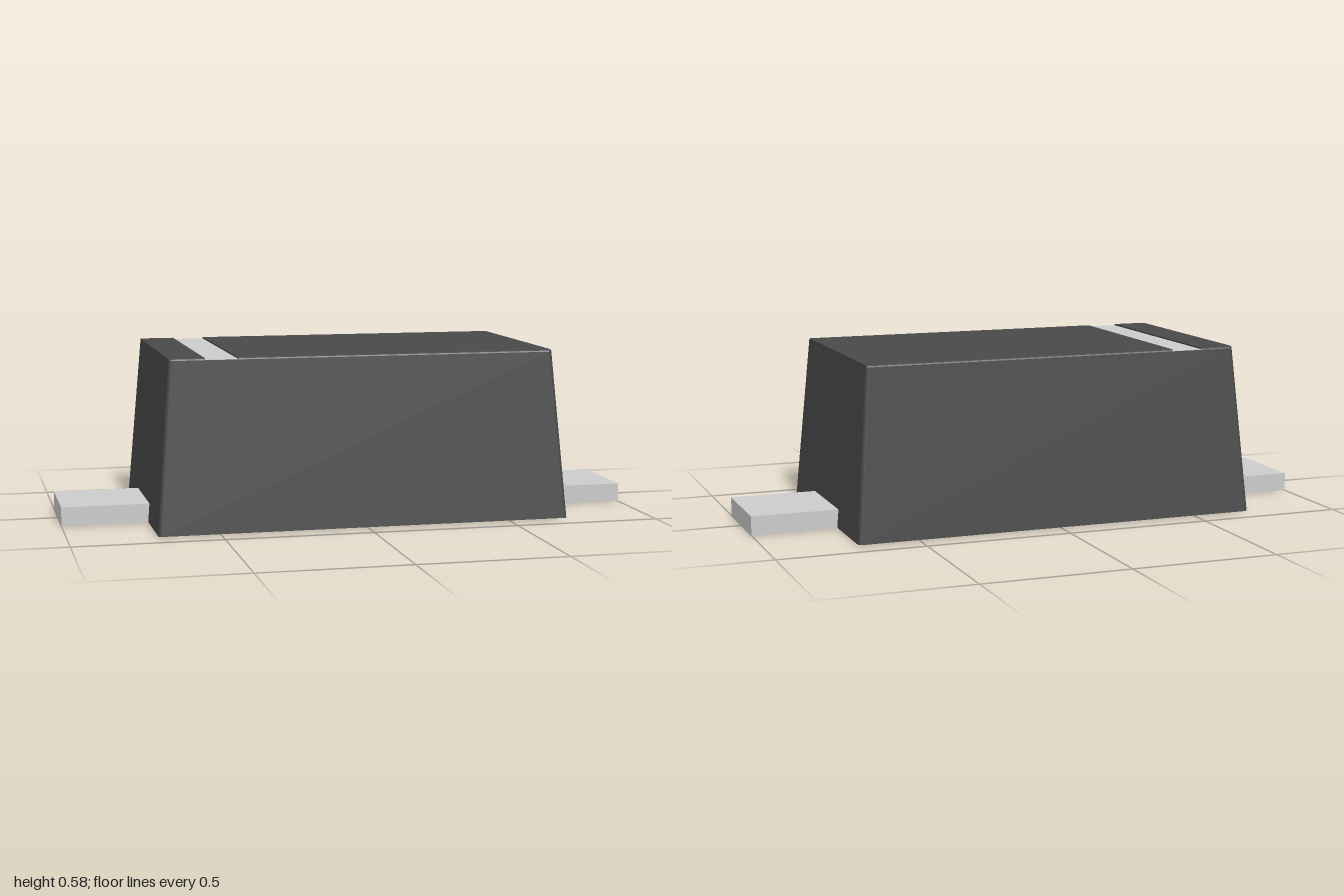
import * as THREE from 'three';

// Outline of a rectangle with rounded corners at height y; r0 rounds the -x end, r1 the +x end
function ring(y, x0, x1, z, r0, r1) {
  const pts = [];
  const corners = [[x1 - r1, z - r1, r1], [x0 + r0, z - r0, r0], [x0 + r0, r0 - z, r0], [x1 - r1, r1 - z, r1]];
  corners.forEach(([cx, cz, r], c) => {
    for (let i = 0; i <= 4; i++) {
      const a = (c + i / 4) * Math.PI / 2;
      pts.push([cx + r * Math.cos(a), y, cz + r * Math.sin(a)]);
    }
  });
  return pts;
}

// Closed solid through a stack of outlines, bottom to top
function loft(rings) {
  const n = rings[0].length, index = [];
  for (let k = 0; k < rings.length - 1; k++) {
    for (let i = 0; i < n; i++) {
      const a = k * n + i, b = k * n + (i + 1) % n;
      index.push(a, a + n, b, b, a + n, b + n);
    }
  }
  const top = (rings.length - 1) * n;
  for (let i = 1; i < n - 1; i++) {
    index.push(0, i, i + 1, top, top + i + 1, top + i);
  }
  const geo = new THREE.BufferGeometry();
  geo.setAttribute('position', new THREE.Float32BufferAttribute(rings.flat(2), 3));
  geo.setIndex(index);
  const flat = geo.toNonIndexed();
  flat.computeVertexNormals();
  return flat;
}

export function createModel() {
  const model = new THREE.Group();
  const dark = new THREE.MeshStandardMaterial({ color: 0x494949, flatShading: true });
  const grey = new THREE.MeshStandardMaterial({ color: 0xcccccc, flatShading: true });
  const add = (name, geo, mat, x = 0, y = 0) => {
    const mesh = new THREE.Mesh(geo, mat);
    mesh.name = name;
    mesh.position.set(x, y, 0);
    model.add(mesh);
  };

  // Tapered body up to the floor of the groove
  const floor = 0.573, height = 0.58, r = 0.012;
  add('body', loft([
    ring(0.002, -0.707, 0.707, 0.42, r, r),
    ring(floor, -0.66, 0.66, 0.371, r, r),
  ]), dark);

  // Top faces on both sides of the groove, long edges softened
  const slab = (x0, x1, r0, r1) => loft([
    ring(floor, x0, x1, 0.371, r0, r1),
    ring(0.577, x0, x1, 0.369, r0, r1),
    ring(height, x0, x1, 0.364, r0, r1),
  ]);
  add('topNarrow', slab(-0.66, -0.54, r, 0.001), dark);
  add('topWide', slab(-0.43, 0.66, 0.001, r), dark);

  // Light polarity band lying in the groove
  add('polarityBand', new THREE.BoxGeometry(0.11, 0.004, 0.74), grey, -0.485, floor);

  // Flat leads, their inner ends tucked under the body
  for (const side of [-1, 1]) {
    add(side > 0 ? 'leftLead' : 'rightLead', new THREE.BoxGeometry(0.33, 0.065, 0.314), grey, side * 0.835, 0.0325);
  }
  return model;
}
